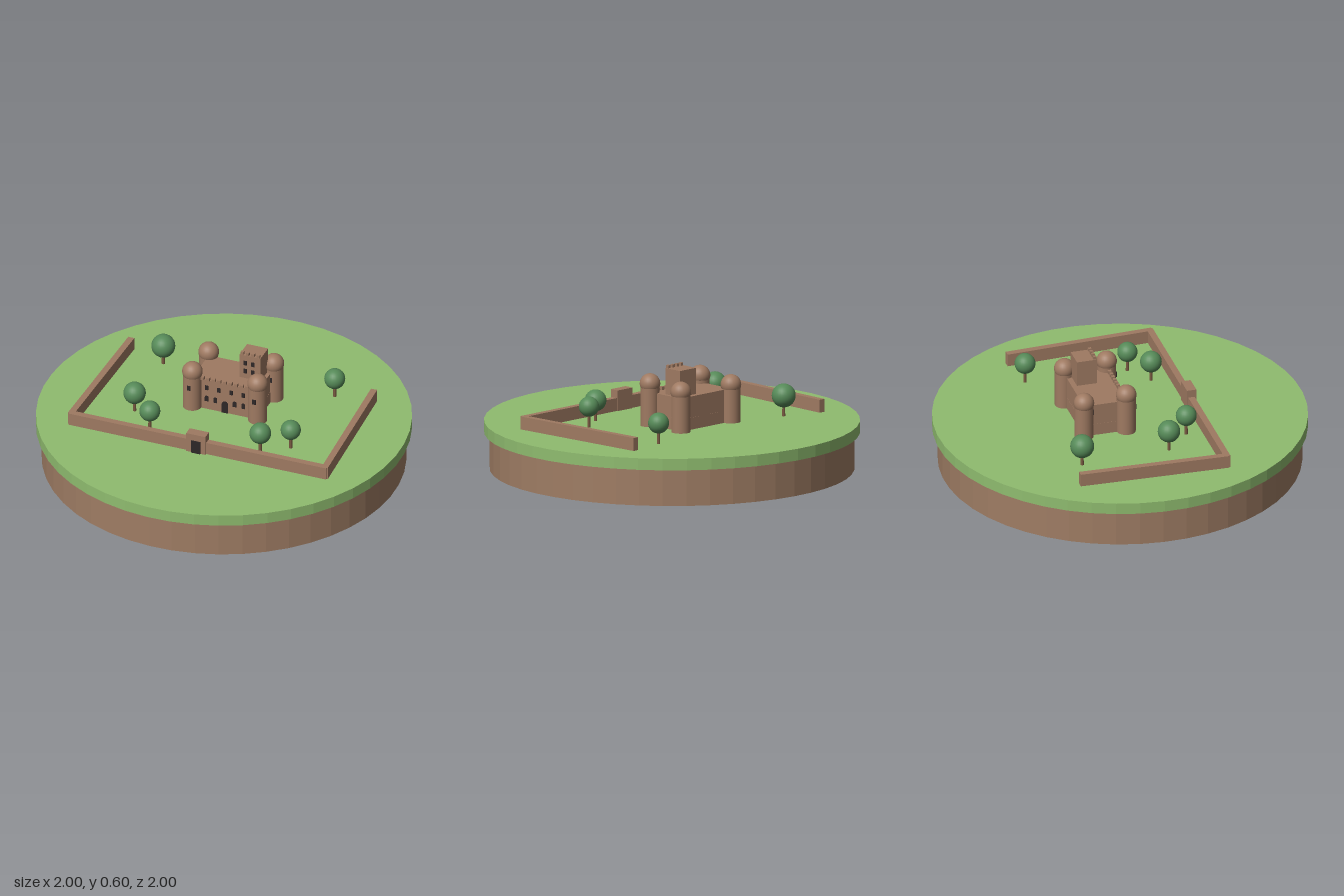
import * as THREE from 'three';

const mat = (name, color, flatShading = false) =>
  Object.assign(new THREE.MeshStandardMaterial({ color, flatShading }), { name });

export function createModel() {
  const earth = mat('earth brown', 0x9f7d64, true);
  const stone = mat('sandstone', 0x9f7a62);
  const grass = mat('grass green', 0x8fbc6f, true);
  const leaf = mat('leaf green', 0x568a58);
  const bark = mat('bark brown', 0x7a5a42);
  const dark = mat('dark opening', 0x2e2727);
  const GROUND = 0.263, TURN = -0.35;
  const model = new THREE.Group();
  model.name = 'castleIsland';

  const add = (parent, name, geometry, material, x = 0, y = 0, z = 0) => {
    const mesh = new THREE.Mesh(geometry, material);
    mesh.name = name;
    mesh.position.set(x, y, z);
    parent.add(mesh);
    return mesh;
  };
  // Box standing on y
  const block = (parent, name, w, h, d, x, y, z) =>
    add(parent, name, new THREE.BoxGeometry(w, h, d), stone, x, y + h / 2, z);
  // Thin arched plate facing +z, standing on y
  const arch = (parent, name, w, h, x, y, z) => {
    const s = new THREE.Shape();
    s.moveTo(-w / 2, 0);
    s.lineTo(w / 2, 0);
    s.lineTo(w / 2, h - w / 2);
    s.absarc(0, h - w / 2, w / 2, 0, Math.PI, false);
    s.closePath();
    const g = new THREE.ExtrudeGeometry(s, { depth: 0.006, bevelEnabled: false, curveSegments: 6 });
    return add(parent, name, g, dark, x, y, z - 0.002);
  };
  const pane = (parent, name, w, h, x, y, z) =>
    add(parent, name, new THREE.BoxGeometry(w, h, 0.008), dark, x, y, z);

  // Round base
  add(model, 'earthBase', new THREE.CylinderGeometry(0.97, 0.97, 0.2, 48), earth, 0, 0.1, 0);
  add(model, 'grassDisc', new THREE.CylinderGeometry(1, 1, GROUND - 0.2, 48), grass, 0, (GROUND + 0.2) / 2, 0);

  // Castle, turned on the ground
  const castle = new THREE.Group();
  castle.name = 'castle';
  castle.position.set(0.045, GROUND, -0.13);
  castle.rotation.y = TURN;
  model.add(castle);
  const W = 0.373, D = 0.234, H = 0.18;
  block(castle, 'keepLower', W, 0.065, D, 0, 0, 0);
  block(castle, 'keepUpper', W - 0.002, H - 0.065, D - 0.002, 0, 0.065, 0);
  for (let i = 0; i < 9; i++)
    block(castle, 'keepMerlon', 0.018, 0.018, 0.018, -0.128 + i * 0.032, H, D / 2);

  // Keep openings
  arch(castle, 'keepDoor', 0.036, 0.07, 0, 0, D / 2);
  for (const x of [-0.105, -0.055, 0.055, 0.105]) arch(castle, 'lowerWindow', 0.02, 0.032, x, 0.05, D / 2);
  for (const x of [-0.105, -0.035, 0.035, 0.105]) pane(castle, 'upperWindow', 0.018, 0.026, x, 0.133, D / 2);

  // Tall tower
  block(castle, 'tallTower', 0.12, 0.322, 0.11, 0.105, 0, -0.033);
  for (let i = 0; i < 4; i++)
    block(castle, 'towerMerlon', 0.017, 0.016, 0.017, 0.058 + i * 0.031, 0.322, 0.013);
  for (const x of [0.078, 0.122])
    for (const y of [0.225, 0.275]) pane(castle, 'towerWindow', 0.018, 0.026, x, y, 0.022);

  // Domed corner towers: x side, z side, dome height
  for (const [sx, sz, h] of [[-1, 1, 0.217], [1, 1, 0.227], [-1, -1, 0.202], [1, -1, 0.217]]) {
    const tower = new THREE.Group();
    tower.name = 'cornerTower';
    tower.position.set(sx * W / 2, 0, sz * D / 2);
    castle.add(tower);
    add(tower, 'towerShaft', new THREE.CylinderGeometry(0.051, 0.051, h, 24), stone, 0, h / 2, 0);
    add(tower, 'towerDome', new THREE.SphereGeometry(0.055, 24, 16), stone, 0, h, 0);
    pane(tower, 'shaftWindow', 0.02, 0.028, 0, 0.14, 0.05);
  }

  // Outer wall
  const corners = [[-0.515, -0.63], [-0.807, 0.11], [0.556, 0.606], [0.79, -0.155]];
  for (let i = 0; i < 3; i++) {
    const [x0, z0] = corners[i], [x1, z1] = corners[i + 1];
    const wall = block(model, 'outerWall', Math.hypot(x1 - x0, z1 - z0) + 0.02, 0.07, 0.035,
      (x0 + x1) / 2, GROUND, (z0 + z1) / 2);
    wall.rotation.y = -Math.atan2(z1 - z0, x1 - x0);
  }

  // Gatehouse
  const gate = new THREE.Group();
  gate.name = 'gatehouse';
  gate.position.set(-0.13, GROUND, 0.358);
  gate.rotation.y = TURN;
  model.add(gate);
  block(gate, 'gateBlock', 0.11, 0.112, 0.052, 0, 0, 0);
  pane(gate, 'gateDoor', 0.052, 0.074, 0, 0.037, 0.028);

  // Trees: x, z, crown radius
  const trees = [[-0.337, -0.497, 0.064], [-0.476, 0.027 - 0.054, 0.06], [-0.39, 0.15, 0.056],
    [0.203, 0.353, 0.058], [0.364, 0.316, 0.054], [0.583, -0.198, 0.056]];
  for (const [x, z, r] of trees) {
    const tree = new THREE.Group();
    tree.name = 'tree';
    tree.position.set(x, GROUND, z);
    model.add(tree);
    add(tree, 'trunk', new THREE.CylinderGeometry(0.007, 0.009, 0.1, 8), bark, 0, 0.05, 0);
    add(tree, 'crown', new THREE.SphereGeometry(r, 24, 16), leaf, 0, 0.112, 0);
  }
  return model;
}
